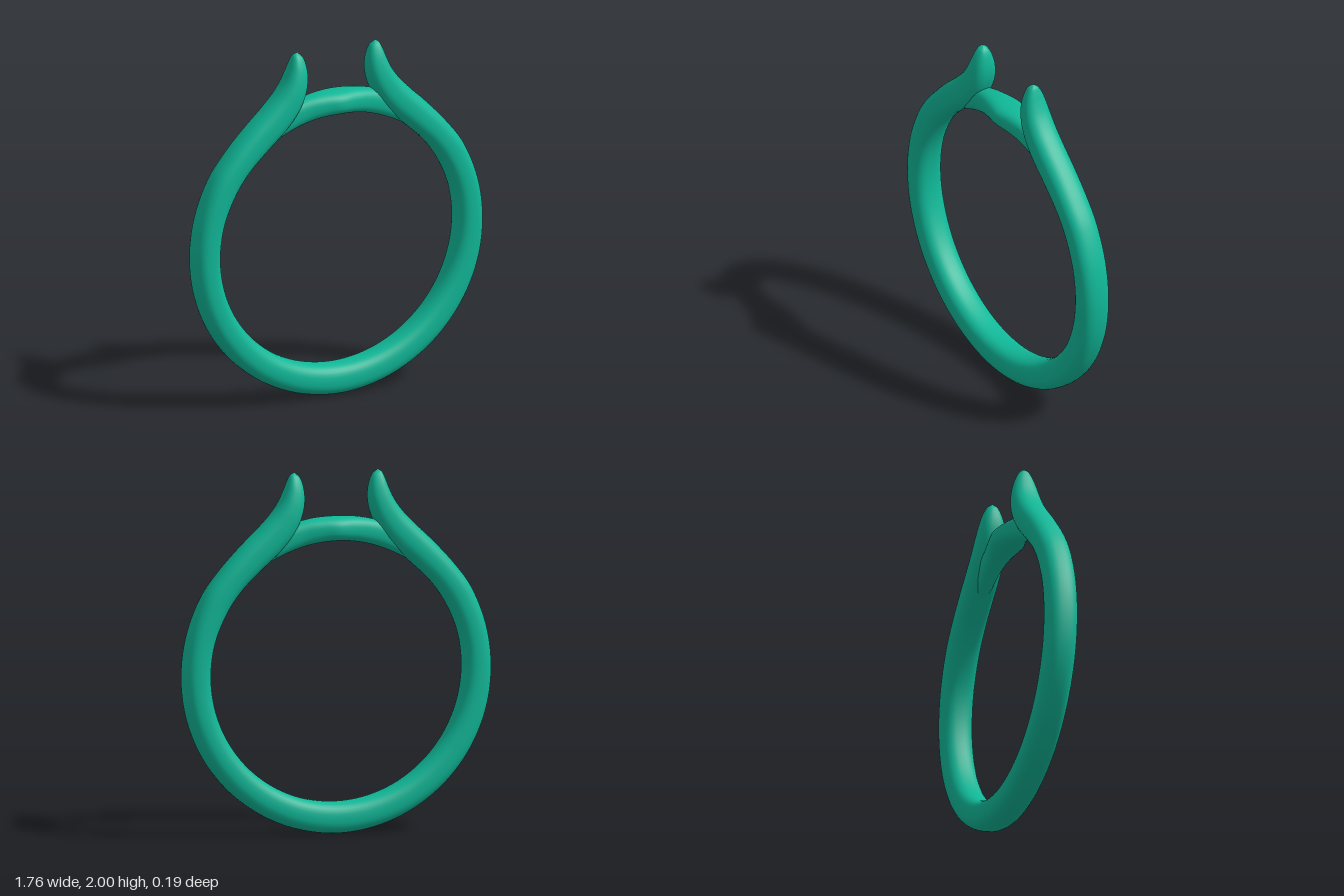
import * as THREE from 'three';

const CENTRE = 0.895; // height of the finger hole's centre
const SIDES = 32;

// Sweep a soft-cornered section along stations [innerX, innerY, outerX, outerY, halfDepth]
function sweep(stations, steps, name, material) {
  const inner = new THREE.CatmullRomCurve3(stations.map(s => new THREE.Vector3(s[0], s[1], 0)));
  const outer = new THREE.CatmullRomCurve3(stations.map(s => new THREE.Vector3(s[2], s[3], s[4])));
  const soft = v => Math.sign(v) * Math.pow(Math.abs(v), 0.8);
  const positions = [], index = [];
  for (let i = 0; i <= steps; i++) {
    const p = inner.getPoint(i / steps), q = outer.getPoint(i / steps);
    for (let j = 0; j < SIDES; j++) {
      const a = (j / SIDES) * Math.PI * 2;
      const k = 0.5 + 0.5 * soft(Math.cos(a));
      positions.push(p.x + (q.x - p.x) * k, p.y + (q.y - p.y) * k, Math.max(q.z, 0) * soft(Math.sin(a)));
      if (i < steps) {
        const n = (j + 1) % SIDES, r = i * SIDES, s = r + SIDES;
        index.push(r + j, s + j, r + n, s + j, s + n, r + n);
      }
    }
  }
  const geometry = new THREE.BufferGeometry();
  geometry.setAttribute('position', new THREE.Float32BufferAttribute(positions, 3));
  geometry.setIndex(index);
  geometry.computeVertexNormals();
  const mesh = new THREE.Mesh(geometry, material);
  mesh.name = name;
  return mesh;
}

// Station on the round part, angle in degrees from +x
function polar(deg, rIn, rOut, depth) {
  const a = THREE.MathUtils.degToRad(deg), c = Math.cos(a), s = Math.sin(a);
  return [c * rIn, CENTRE + s * rIn, c * rOut, CENTRE + s * rOut, depth];
}

export function createModel() {
  const group = new THREE.Group();
  group.name = 'ring';
  const material = new THREE.MeshStandardMaterial({ color: 0x10b898 });

  // Band: right half from the bottom round to the flared prong tip
  const half = [];
  for (let d = -90; d <= 15; d += 15) {
    const k = Math.max(0, -d / 90);
    half.push(polar(d, 0.724 - 0.004 * k, 0.88 + 0.015 * k, 0.09));
  }
  half.push(
    [0.624, 1.255, 0.765, 1.335, 0.09],
    [0.54, 1.37, 0.67, 1.465, 0.09],
    [0.43, 1.475, 0.55, 1.595, 0.09],
    [0.33, 1.565, 0.44, 1.7, 0.09],
    [0.26, 1.645, 0.37, 1.775, 0.088],
    [0.21, 1.735, 0.325, 1.84, 0.083],
    [0.187, 1.82, 0.295, 1.905, 0.071],
    [0.187, 1.9, 0.277, 1.953, 0.053],
    [0.207, 1.97, 0.262, 1.985, 0.028],
    [0.237, 2.0, 0.241, 2.0, 0]
  );
  const mirrored = half.slice(1).reverse().map(([a, b, c, d, e]) => [-a, b, -c, d, e]);
  group.add(sweep([...mirrored, ...half], 272, 'bandWithProngs', material));

  // Bridge closing the top of the hole, widest at its middle
  const bridgeHalf = [
    [55, 0.73, 0.79, 0.03], [62, 0.722, 0.835, 0.048], [69, 0.72, 0.855, 0.056],
    [76, 0.72, 0.858, 0.064], [83, 0.72, 0.857, 0.08]
  ];
  const bridge = [
    ...bridgeHalf.map(s => polar(...s)),
    polar(90, 0.72, 0.855, 0.095),
    ...bridgeHalf.slice().reverse().map(([d, ...rest]) => polar(180 - d, ...rest))
  ];
  group.add(sweep(bridge, 80, 'bridge', material));

  return group;
}
